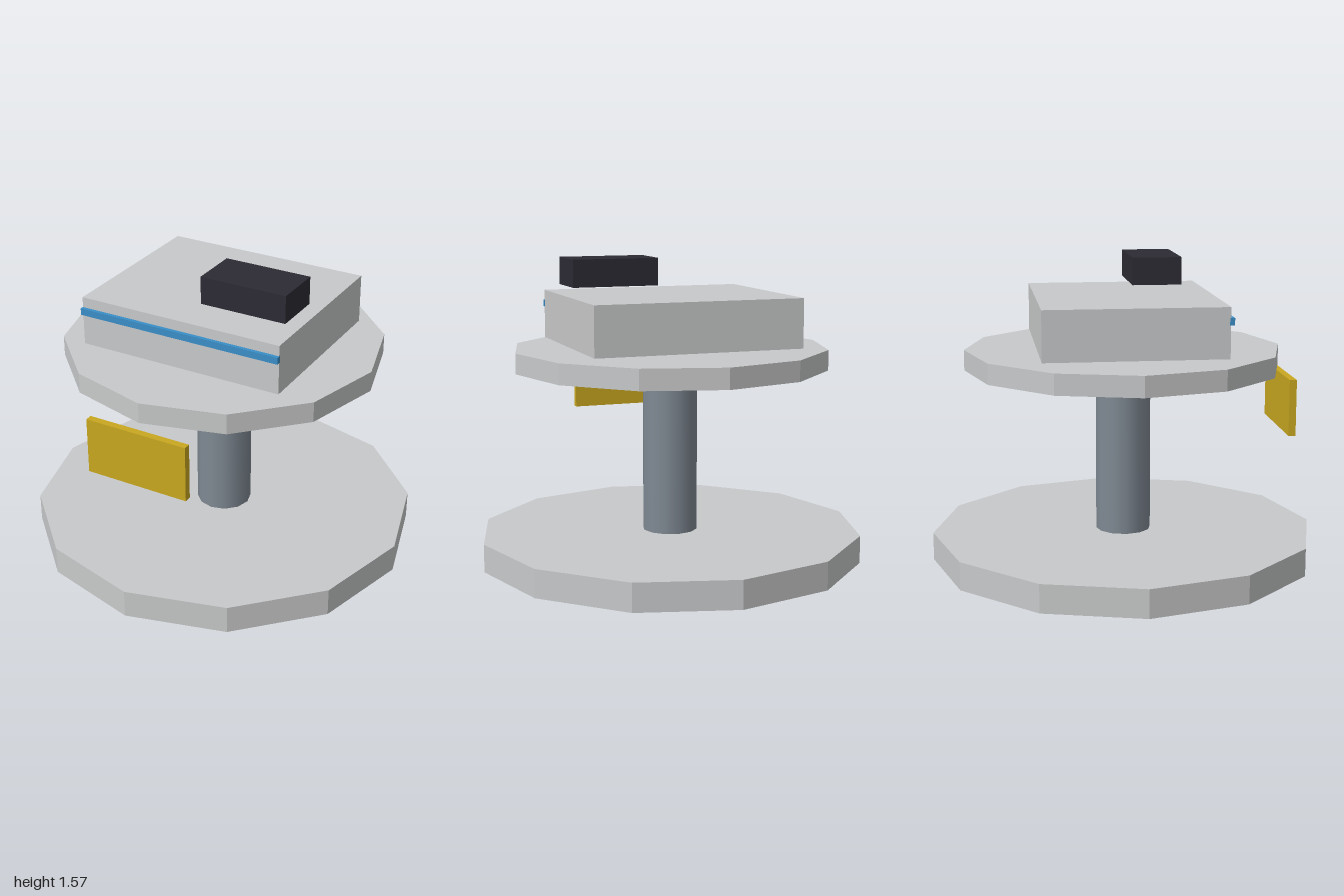
import * as THREE from 'three';

export function createModel() {
  const model = new THREE.Group();
  model.name = 'pedestalDisplay';

  const material = (name, color) => {
    const m = new THREE.MeshStandardMaterial({ color });
    m.name = name;
    return m;
  };
  const stone = material('lightGrey', 0xc8c9ca);
  const steel = material('steelGrey', 0x7f8993);
  const gold = material('gold', 0xc9a820);
  const blue = material('blue', 0x3a8fc8);
  const dark = material('charcoal', 0x2c2b34);

  const add = (name, geometry, mat, x, y, z) => {
    const mesh = new THREE.Mesh(geometry, mat);
    mesh.name = name;
    mesh.position.set(x, y, z);
    model.add(mesh);
  };

  // Twelve-sided discs with crisp facets
  const disc = (name, radius, bottom, top) => {
    const geometry = new THREE.CylinderGeometry(radius, radius, top - bottom, 12).toNonIndexed();
    geometry.computeVertexNormals();
    add(name, geometry, stone, 0, (bottom + top) / 2, 0);
  };

  // Boxes given by their lowest and highest corners
  const block = (name, mat, [x0, y0, z0], [x1, y1, z1]) =>
    add(name, new THREE.BoxGeometry(x1 - x0, y1 - y0, z1 - z0), mat,
      (x0 + x1) / 2, (y0 + y1) / 2, (z0 + z1) / 2);

  // Pedestal
  disc('base', 1, 0, 0.145);
  add('column', new THREE.CylinderGeometry(0.143, 0.143, 0.86, 12), steel, 0, 0.575, 0);
  disc('platform', 0.818, 1.005, 1.11);

  // Body floating just above the platform, with its front stripe
  block('body', stone, [-0.545, 1.13, -0.455], [0.545, 1.383, 0.455]);
  block('frontStripe', blue, [-0.546, 1.295, 0.45], [0.546, 1.33, 0.474]);

  // Separate block above the body, toward the front left
  block('topBlock', dark, [0.045, 1.423, 0.055], [0.5, 1.565, 0.31]);

  // Plate in front of the column
  block('frontPlate', gold, [-0.273, 0.677, 0.818], [0.273, 0.967, 0.855]);

  return model;
}
